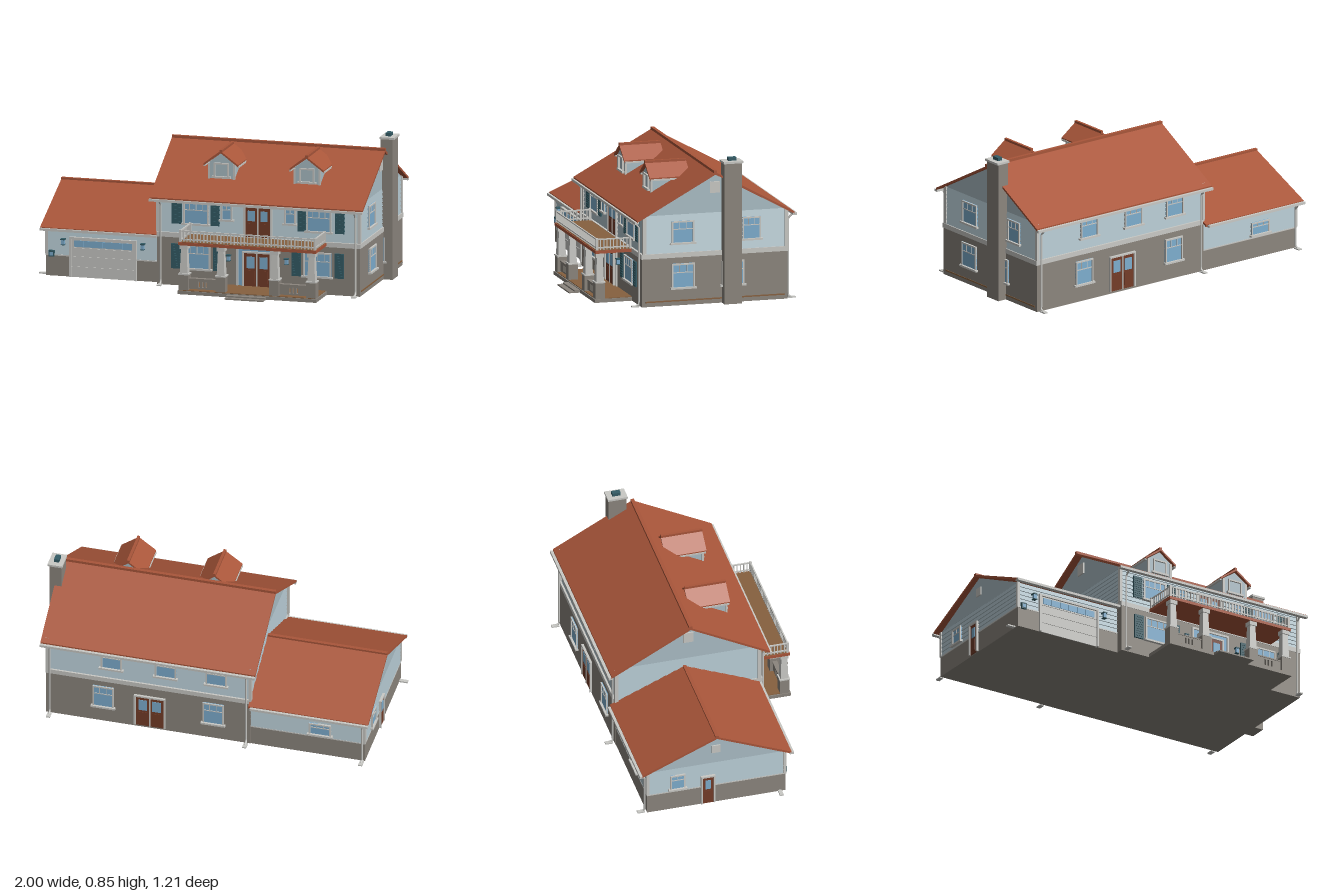
import * as THREE from 'three';

const mat = (name, color) => {
  const m = new THREE.MeshStandardMaterial({ color });
  m.name = name;
  return m;
};

export function createModel() {
  const M = {
    roof: mat('terracotta roof', 0xa9563a), stone: mat('grey stone', 0x8c867e),
    siding: mat('blue siding', 0xacbfc7), trim: mat('light trim', 0xcacac6),
    glass: mat('window glass', 0x7eaecf), teal: mat('dark teal', 0x345c66),
    door: mat('red brown door', 0x743c28), deck: mat('brown deck', 0x87613f),
  };
  const house = new THREE.Group();
  house.name = 'house';

  const add = (parent, name, geo, m) => {
    const mesh = new THREE.Mesh(geo, m);
    mesh.name = name;
    parent.add(mesh);
    return mesh;
  };
  // box from its minimum and maximum on each axis
  const box = (p, name, m, x0, x1, y0, y1, z0, z1) => {
    const g = new THREE.BoxGeometry(x1 - x0, y1 - y0, z1 - z0);
    g.translate((x0 + x1) / 2, (y0 + y1) / 2, (z0 + z1) / 2);
    return add(p, name, g, m);
  };
  // outline extruded along z (points are x, y) or along x (points are z, y)
  const prismZ = (p, name, m, pts, z0, z1) => {
    const g = new THREE.ExtrudeGeometry(new THREE.Shape(pts.map(a => new THREE.Vector2(...a))), { depth: z1 - z0, bevelEnabled: false });
    return add(p, name, g.translate(0, 0, z0), m);
  };
  const prismX = (p, name, m, pts, x0, x1) => {
    const g = new THREE.ExtrudeGeometry(new THREE.Shape(pts.map(a => new THREE.Vector2(-a[0], a[1]))), { depth: x1 - x0, bevelEnabled: false });
    return add(p, name, g.rotateY(Math.PI / 2).translate(x0, 0, 0), m);
  };
  // roof cross-section: two thin slopes meeting at a ridge
  const chevron = (c, ridge, half, eave, t) => [[c - half, eave], [c, ridge], [c + half, eave],
    [c + half, eave - t], [c, ridge - t], [c - half, eave - t]];
  // box whose top is drawn in or pushed out
  const taper = (w, h, d, inset) => {
    const g = new THREE.BoxGeometry(w, h, d), a = g.attributes.position;
    for (let i = 0; i < a.count; i++) if (a.getY(i) > 0) {
      a.setX(i, a.getX(i) - Math.sign(a.getX(i)) * inset);
      a.setZ(i, a.getZ(i) - Math.sign(a.getZ(i)) * inset);
    }
    g.computeVertexNormals();
    return g;
  };
  // overlapping courses of siding around a block
  const siding = (name, x0, x1, y0, y1, z0, z1, n) => {
    const h = (y1 - y0) / n;
    for (let i = 0; i < n; i++)
      add(house, name, taper(x1 - x0, h, z1 - z0, 0.006), M.siding)
        .position.set((x0 + x1) / 2, y0 + h * (i + 0.5), (z0 + z1) / 2);
  };
  // put a part built facing +z onto a wall
  const turn = { front: 0, right: Math.PI / 2, back: Math.PI, left: -Math.PI / 2 };
  const wall = (name, side, u, y, at) => {
    const g = new THREE.Group();
    g.name = name;
    g.rotation.y = turn[side];
    if (side === 'front' || side === 'back') g.position.set(u, y, at);
    else g.position.set(at, y, u);
    house.add(g);
    return g;
  };
  const frame = (g, w, h, t, d) => {
    for (const s of [-1, 1]) box(g, 'frameSide', M.trim, s * (w - t) / 2 - t / 2, s * (w - t) / 2 + t / 2, 0, h, -0.01, d);
    box(g, 'frameTop', M.trim, -w / 2, w / 2, h - t, h, -0.01, d);
  };
  const windowAt = (side, u, y, at, w, h, lights = 3) => {
    const g = wall('window', side, u, y, at);
    box(g, 'glass', M.glass, -w / 2, w / 2, 0, h, -0.001, 0.005);
    frame(g, w, h, 0.009, 0.011);
    box(g, 'sill', M.trim, -w / 2 - 0.01, w / 2 + 0.01, -0.004, 0.007, -0.01, 0.018);
    box(g, 'transomBar', M.trim, -w / 2, w / 2, h * 0.62, h * 0.62 + 0.005, 0, 0.008);
    for (let i = 1; i < lights; i++) {
      const x = -w / 2 + w * i / lights;
      box(g, 'muntin', M.trim, x - 0.002, x + 0.002, h * 0.62, h, 0, 0.008);
    }
  };
  const doorAt = (side, u, y, at, w, h, leaves = 2) => {
    const g = wall('door', side, u, y, at), lw = (w - 0.02) / leaves;
    frame(g, w, h, 0.01, 0.014);
    for (let i = 0; i < leaves; i++) {
      const x0 = -w / 2 + 0.01 + lw * i, x1 = x0 + lw;
      box(g, 'doorLeaf', M.door, x0 + 0.001, x1 - 0.001, 0, h - 0.01, -0.005, 0.008);
      box(g, 'doorGlass', M.glass, x0 + 0.016, x1 - 0.016, h * 0.52, h - 0.03, 0.005, 0.0105);
      box(g, 'doorPanel', M.door, x0 + 0.016, x1 - 0.016, h * 0.1, h * 0.45, 0.005, 0.0105);
    }
    if (leaves > 1) box(g, 'centrePost', M.trim, -0.004, 0.004, 0, h, -0.005, 0.012);
  };
  const shutter = (x0, x1, y, h, z) => {
    box(house, 'shutter', M.teal, x0, x1, y, y + h, z - 0.01, z + 0.01);
    for (let i = 1; i < 10; i++) box(house, 'slat', M.teal, x0 + 0.006, x1 - 0.006, y + h * i / 10 - 0.002, y + h * i / 10 + 0.002, z, z + 0.013);
  };
  const lantern = (x, y, z) => {
    box(house, 'lanternGlass', M.glass, x - 0.009, x + 0.009, y, y + 0.026, z + 0.004, z + 0.022);
    box(house, 'lanternCap', M.teal, x - 0.013, x + 0.013, y + 0.026, y + 0.033, z - 0.005, z + 0.026);
    box(house, 'lanternBase', M.teal, x - 0.011, x + 0.011, y - 0.004, y, z - 0.005, z + 0.024);
  };

  // main block: stone ground floor, band, siding, gables
  box(house, 'groundFloor', M.stone, -0.275, 0.935, 0, 0.28, -0.553, 0.317);
  box(house, 'plinthStrip', M.deck, 0.93, 0.938, 0.024, 0.032, -0.535, 0.295);
  box(house, 'floorBand', M.trim, -0.278, 0.938, 0.28, 0.308, -0.556, 0.32);
  siding('upperSiding', -0.272, 0.932, 0.308, 0.53, -0.545, 0.307, 9);
  prismX(house, 'gable', M.siding, [[0.3, 0.53], [-0.115, 0.756], [-0.535, 0.53]], -0.268, 0.928);
  for (const x of [-0.27, 0.93]) for (const z of [-0.543, 0.305])
    box(house, 'cornerBoard', M.trim, x - 0.012, x + 0.006, 0.308, 0.53, z - 0.014, z + 0.007);
  prismX(house, 'mainRoof', M.roof, chevron(-0.115, 0.77, 0.47, 0.514, 0.014), -0.31, 0.96);
  box(house, 'ridgeCap', M.roof, -0.31, 0.96, 0.762, 0.78, -0.125, -0.105);
  for (const side of ['left', 'right']) {
    const v = wall('gableVent', side, -0.12, 0.645, side === 'left' ? -0.268 : 0.928);
    box(v, 'ventPanel', M.trim, -0.03, 0.03, 0, 0.066, -0.005, 0.008);
  }

  // garage block
  box(house, 'garageBase', M.stone, -0.95, -0.27, 0, 0.12, -0.55, 0.272);
  box(house, 'garageBand', M.trim, -0.953, -0.27, 0.118, 0.125, -0.552, 0.275);
  siding('garageSiding', -0.952, -0.262, 0.125, 0.277, -0.551, 0.272, 6);
  prismX(house, 'garageGable', M.siding, [[0.266, 0.277], [-0.142, 0.463], [-0.545, 0.277]], -0.947, -0.27);
  prismX(house, 'garageRoof', M.roof, chevron(-0.142, 0.477, 0.442, 0.286, 0.014), -0.977, -0.268);
  box(house, 'garageRidge', M.roof, -0.977, -0.27, 0.47, 0.484, -0.152, -0.132);
  for (const z of [-0.545, 0.267]) box(house, 'garageCorner', M.trim, -0.955, -0.938, 0.125, 0.277, z - 0.01, z + 0.007);
  const gv = wall('garageVent', 'left', -0.142, 0.35, -0.947);
  box(gv, 'ventPanel', M.trim, -0.025, 0.025, 0, 0.05, -0.005, 0.008);

  // garage door with a strip of panes
  const gd = wall('garageDoor', 'front', -0.608, 0, 0.272);
  box(gd, 'doorPanels', M.trim, -0.19, 0.19, 0, 0.225, -0.005, 0.004);
  frame(gd, 0.4, 0.235, 0.012, 0.014);
  for (const y of [0.06, 0.12, 0.17]) box(gd, 'panelRib', M.trim, -0.19, 0.19, y - 0.002, y + 0.002, 0, 0.008);
  for (let i = 0; i < 6; i++) box(gd, 'doorPane', M.glass, -0.174 + i * 0.058, -0.118 + i * 0.058, 0.178, 0.215, 0, 0.007);
  for (const x of [-0.845, -0.37]) lantern(x, 0.19, 0.272);
  box(house, 'meterBox', M.teal, -0.93, -0.898, 0.113, 0.15, 0.265, 0.285);
  box(house, 'meterFace', M.glass, -0.924, -0.904, 0.12, 0.14, 0.283, 0.288);

  // gutters, downspouts and splash blocks
  const gutter = (x0, x1, y, z) => box(house, 'gutter', M.trim, x0, x1, y, y + 0.014, z - 0.012, z + 0.012);
  gutter(-0.31, 0.96, 0.492, 0.355);
  gutter(-0.31, 0.96, 0.492, -0.59);
  gutter(-0.977, -0.28, 0.268, 0.302);
  gutter(-0.977, -0.28, 0.268, -0.588);
  const spout = (x, y, ze, zw) => {
    const s = Math.sign(zw), p = [[ze, y], [zw, y - 0.03], [zw, 0.014], [zw + s * 0.02, 0.006]];
    const path = new THREE.CurvePath();
    for (let i = 0; i < 3; i++) path.add(new THREE.LineCurve3(new THREE.Vector3(x, p[i][1], p[i][0]), new THREE.Vector3(x, p[i + 1][1], p[i + 1][0])));
    add(house, 'downspout', new THREE.TubeGeometry(path, 24, 0.006, 6), M.trim);
    box(house, 'splashBlock', M.trim, x - 0.012, x + 0.012, 0, 0.007, zw + s * 0.022 - 0.022, zw + s * 0.022 + 0.022);
  };
  for (const x of [-0.25, 0.91]) {
    spout(x, 0.495, 0.355, 0.328);
    spout(x, 0.495, -0.59, -0.563);
  }
  spout(-0.935, 0.27, -0.588, -0.561);
  box(house, 'splashBlock', M.trim, -1, -0.95, 0, 0.008, 0.225, 0.247);

  // chimney
  box(house, 'chimney', M.stone, 0.918, 0.99, 0, 0.822, -0.265, -0.16);
  box(house, 'chimneyCap', M.trim, 0.913, 1, 0.822, 0.834, -0.27, -0.153);
  box(house, 'chimneyPot', M.teal, 0.94, 0.97, 0.834, 0.853, -0.237, -0.188);

  // dormers
  for (const x of [0.07, 0.58]) {
    prismZ(house, 'dormerBody', M.siding, [[x - 0.078, 0.605], [x + 0.078, 0.605], [x + 0.078, 0.7], [x, 0.755], [x - 0.078, 0.7]], -0.04, 0.18);
    prismZ(house, 'dormerRoof', M.roof, chevron(x, 0.772, 0.102, 0.697, 0.012), -0.05, 0.195);
    box(house, 'dormerRidge', M.roof, x - 0.008, x + 0.008, 0.765, 0.78, -0.05, 0.195);
    for (const s of [-1, 1]) {
      box(house, 'dormerCorner', M.trim, x + s * 0.075 - 0.006, x + s * 0.075 + 0.006, 0.605, 0.698, 0.172, 0.185);
      box(house, 'dormerGutter', M.trim, x + s * 0.1 - 0.006, x + s * 0.1 + 0.006, 0.68, 0.69, -0.01, 0.19);
    }
    const d = wall('dormerVent', 'front', x, 0.617, 0.18);
    frame(d, 0.09, 0.085, 0.009, 0.01);
    box(d, 'ventSill', M.trim, -0.055, 0.055, -0.005, 0.007, -0.005, 0.014);
  }

  // windows and shutters
  const F = 0.317, U = 0.304;
  for (const [x, w] of [[-0.035, 0.16], [0.682, 0.165]]) windowAt('front', x, 0.1, F, w, 0.145, 4);
  for (const [x, w] of [[-0.045, 0.15], [0.688, 0.148]]) windowAt('front', x, 0.36, U, w, 0.132, 4);
  for (const x of [0.138, 0.515]) windowAt('front', x, 0.395, U, 0.068, 0.097, 2);
  for (const [a, b] of [[-0.19, -0.13], [0.062, 0.115], [0.53, 0.583], [0.785, 0.84]]) shutter(a, b, 0.1, 0.145, F);
  for (const [a, b] of [[-0.19, -0.13], [0.042, 0.095], [0.56, 0.61], [0.785, 0.84]]) shutter(a, b, 0.36, 0.132, U);
  for (const [z, y, w, x] of [[0.072, 0.1, 0.135, 0.935], [-0.225, 0.1, 0.135, 0.935], [0.072, 0.36, 0.135, 0.929], [-0.338, 0.36, 0.11, 0.929]])
    windowAt('right', z, y, x, w, 0.145 - (y > 0.2 ? 0.012 : 0));
  for (const x of [0.55, 0.23, -0.07]) windowAt('back', x, 0.37, -0.542, 0.125, 0.12);
  for (const x of [0.595, -0.055]) windowAt('back', x, 0.1, -0.553, 0.125, 0.145);
  windowAt('back', -0.685, 0.135, -0.549, 0.13, 0.08);
  windowAt('left', -0.37, 0.135, -0.95, 0.09, 0.1, 2);

  // doors; the entrance has side lights and a transom
  const entry = wall('entrance', 'front', 0.324, 0.022, F);
  frame(entry, 0.25, 0.24, 0.012, 0.01);
  box(entry, 'sideLights', M.glass, -0.115, 0.115, 0, 0.23, -0.005, 0.003);
  doorAt('front', 0.324, 0.022, F + 0.002, 0.175, 0.205);
  doorAt('front', 0.324, 0.305, U, 0.17, 0.187);
  doorAt('back', 0.32, 0.015, -0.553, 0.185, 0.21);
  doorAt('left', -0.19, 0.005, -0.95, 0.085, 0.19, 1);
  for (const x of [0.155, 0.5]) lantern(x, 0.168, F);

  // porch floor, steps, pedestals and tapered columns
  box(house, 'porchBase', M.stone, -0.088, 0.738, 0, 0.02, 0.3, 0.54);
  box(house, 'porchFloor', M.deck, -0.08, 0.73, 0.018, 0.024, 0.31, 0.533);
  box(house, 'upperStep', M.stone, 0.21, 0.44, 0, 0.016, 0.53, 0.573);
  box(house, 'lowerStep', M.stone, 0.21, 0.44, 0, 0.008, 0.53, 0.605);
  const columns = [-0.055, 0.165, 0.485, 0.705];
  for (const x of columns) {
    box(house, 'pedestal', M.stone, x - 0.028, x + 0.028, 0.02, 0.112, 0.477, 0.533);
    box(house, 'pedestalCap', M.trim, x - 0.031, x + 0.031, 0.112, 0.12, 0.474, 0.536);
    add(house, 'column', taper(0.046, 0.15, 0.046, 0.006), M.trim).position.set(x, 0.195, 0.505);
    box(house, 'capital', M.trim, x - 0.024, x + 0.024, 0.262, 0.286, 0.481, 0.529);
  }
  // low porch walls with three slots
  for (const [a, b] of [[columns[0], columns[1]], [columns[2], columns[3]]]) {
    const s = new THREE.Shape([[a, 0.03], [b, 0.03], [b, 0.085], [a, 0.085]].map(p => new THREE.Vector2(...p)));
    for (const k of [-1, 0, 1]) {
      const c = (a + b) / 2 + k * 0.022;
      s.holes.push(new THREE.Path([[c - 0.005, 0.04], [c - 0.005, 0.075], [c + 0.005, 0.075], [c + 0.005, 0.04]].map(p => new THREE.Vector2(...p))));
    }
    add(house, 'porchWall', new THREE.ExtrudeGeometry(s, { depth: 0.02, bevelEnabled: false }).translate(0, 0, 0.495), M.stone);
    box(house, 'porchWallCap', M.stone, a, b, 0.085, 0.092, 0.491, 0.519);
  }

  // balcony and balustrade
  box(house, 'balconyFascia', M.roof, -0.086, 0.736, 0.286, 0.303, 0.3, 0.535);
  box(house, 'balconyFloor', M.deck, -0.08, 0.73, 0.3, 0.306, 0.3, 0.529);
  const rail = (x0, x1, z0, z1, n) => {
    for (const y of [0.315, 0.364]) box(house, 'handrail', M.trim, x0 - 0.004, x1 + 0.004, y, y + 0.007, z0 - 0.004, z1 + 0.004);
    for (let i = 0; i <= n; i++) {
      const x = x0 + (x1 - x0) * i / n, z = z0 + (z1 - z0) * i / n, r = i % n ? 0.003 : 0.007;
      box(house, r > 0.005 ? 'railPost' : 'baluster', M.trim, x - r, x + r, 0.305, r > 0.005 ? 0.374 : 0.366, z - r, z + r);
    }
  };
  rail(-0.076, 0.726, 0.523, 0.523, 40);
  for (const x of [-0.076, 0.726]) rail(x, x, 0.325, 0.523, 10);

  return house;
}
